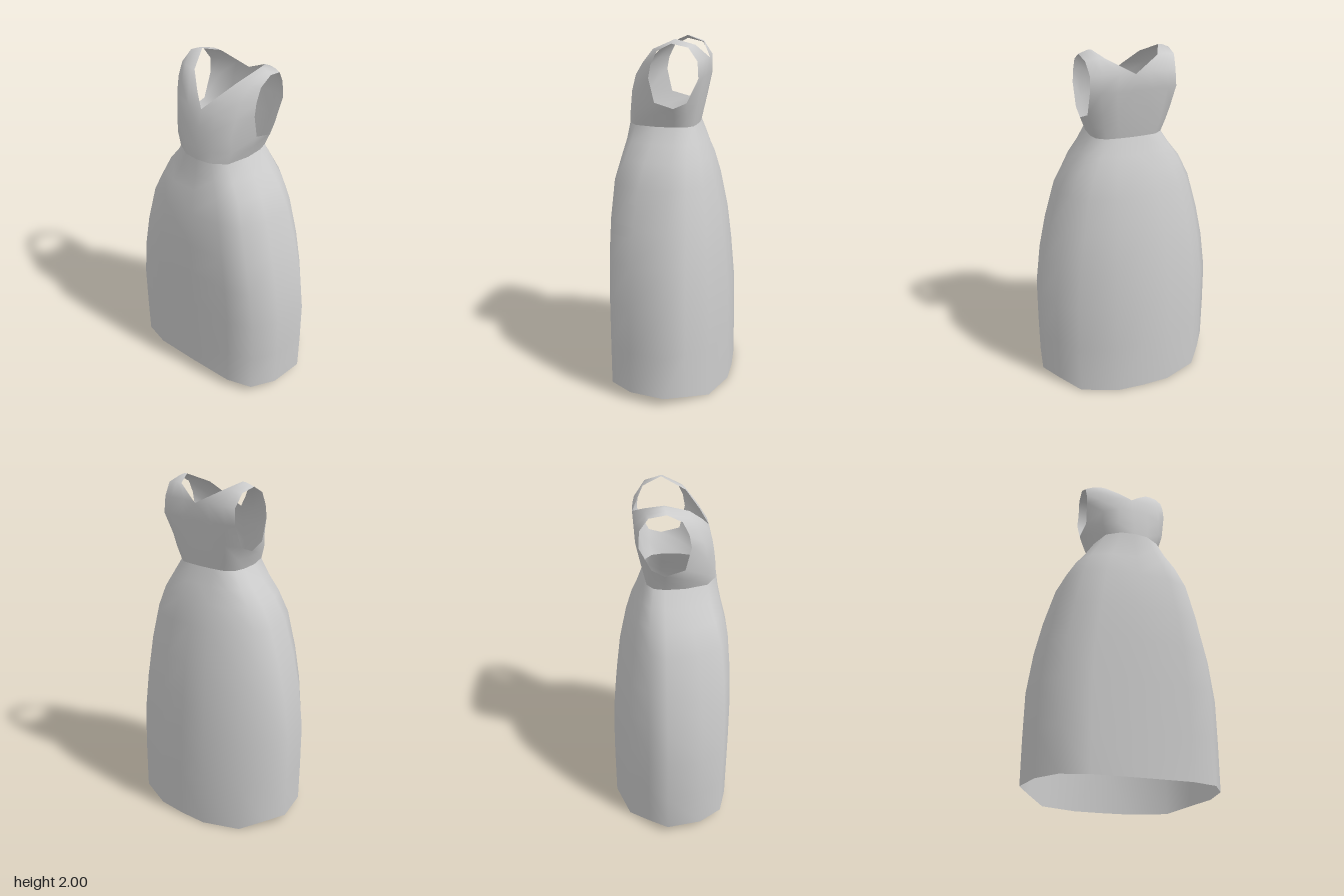
import * as THREE from 'three';
import { mergeVertices } from 'three/addons/utils/BufferGeometryUtils.js';

// Half outlines from front centre round the left side to back centre, as fractions of width and depth
const HEM = [[0, 1], [.495, .99], [.77, .865], [.935, .49], [1, -.085], [.86, -.4], [.68, -.74], [.3, -.98], [0, -1]];
const WAIST = [[0, 1], [.4, .96], [.78, .77], [.97, .3], [1, -.2], [.93, -.65], [.7, -.92], [.35, -.98], [0, -1]];

// One half ring: height, half width, front depth, back depth, blend from hem to waist outline
function ring(y, width, front, back, blend) {
  return HEM.map(([hx, hz], i) => {
    const x = THREE.MathUtils.lerp(hx, WAIST[i][0], blend);
    const z = THREE.MathUtils.lerp(hz, WAIST[i][1], blend);
    return [x * width, y, z * (z > 0 ? front : back)];
  });
}

// Joins rows of points into a smooth sheet, mirrored across x = 0
function sheet(patches) {
  const pos = [];
  const tri = (a, b, c) => {
    pos.push(...a, ...b, ...c);
    for (const p of [a, c, b]) pos.push(p[0] === 0 ? 0 : -p[0], p[1], p[2]);
  };
  for (const rows of patches) {
    for (let r = 0; r < rows.length - 1; r++) {
      for (let c = 0; c < rows[r].length - 1; c++) {
        tri(rows[r][c], rows[r][c + 1], rows[r + 1][c + 1]);
        tri(rows[r][c], rows[r + 1][c + 1], rows[r + 1][c]);
      }
    }
  }
  const geo = new THREE.BufferGeometry();
  geo.setAttribute('position', new THREE.Float32BufferAttribute(pos, 3));
  const merged = mergeVertices(geo, 1e-4);
  merged.computeVertexNormals();
  return merged;
}

export function createModel() {
  const cloth = new THREE.MeshStandardMaterial({ color: 0xcccccc, side: THREE.DoubleSide });
  cloth.name = 'pale grey cloth';
  const group = new THREE.Group();
  group.name = 'dress';
  const add = (name, patches) => {
    const mesh = new THREE.Mesh(sheet(patches), cloth);
    mesh.name = name;
    group.add(mesh);
  };

  // Skirt, with the hem dipping at the back
  const hem = ring(.05, .545, .35, .352, 0);
  [.03, 0, 0, 0].forEach((y, i) => { hem[5 + i][1] = y; });
  const waist = ring(1.53, .205, .262, .135, 1);
  add('skirt', [[
    hem,
    ring(.3, .546, .35, .35, 0),
    ring(.56, .543, .35, .342, 0),
    ring(.8, .51, .35, .32, .05),
    ring(1.0, .465, .345, .295, .15),
    ring(1.22, .4, .328, .25, .3),
    ring(1.35, .335, .295, .212, .5),
    ring(1.44, .265, .275, .172, .8),
    waist,
  ]]);

  // Bodice from the waist to the underarm
  const chest = [
    [0, 1.71, .238], [.09, 1.71, .236], [.18, 1.69, .2], [.25, 1.67, .075], [.26, 1.64, -.03],
    [.24, 1.67, -.1], [.17, 1.68, -.155], [.09, 1.69, -.163], [0, 1.69, -.165],
  ];
  const shoulder = [[.19, 2, -.03], [.21, 2, -.03], [.235, 1.99, -.025], [.258, 1.98, -.02]];

  // Front panel from the centre or V neckline out to the armhole
  const frontPanel = [
    chest.slice(0, 4),
    [[0, 1.805, .215], [.09, 1.8, .213], [.19, 1.79, .175], [.255, 1.8, .105]],
    [[.06, 1.867, .17], [.12, 1.87, .165], [.19, 1.87, .14], [.255, 1.87, .092]],
    [[.135, 1.944, .1], [.165, 1.945, .098], [.21, 1.945, .085], [.255, 1.94, .058]],
    shoulder,
  ];

  // Back panel from the armhole in to the centre or neckline
  const backPanel = [
    chest.slice(5),
    [[.245, 1.8, -.163], [.19, 1.8, -.178], [.1, 1.8, -.181], [0, 1.8, -.182]],
    [[.24, 1.89, -.157], [.18, 1.895, -.178], [.08, 1.9, -.187], [0, 1.89, -.19]],
    [[.25, 1.96, -.11], [.22, 1.968, -.12], [.18, 1.972, -.126], [.145, 1.968, -.13]],
    [...shoulder].reverse(),
  ];
  add('bodice', [[waist, ring(1.6, .232, .256, .15, 1), chest], frontPanel, backPanel]);

  return group;
}
